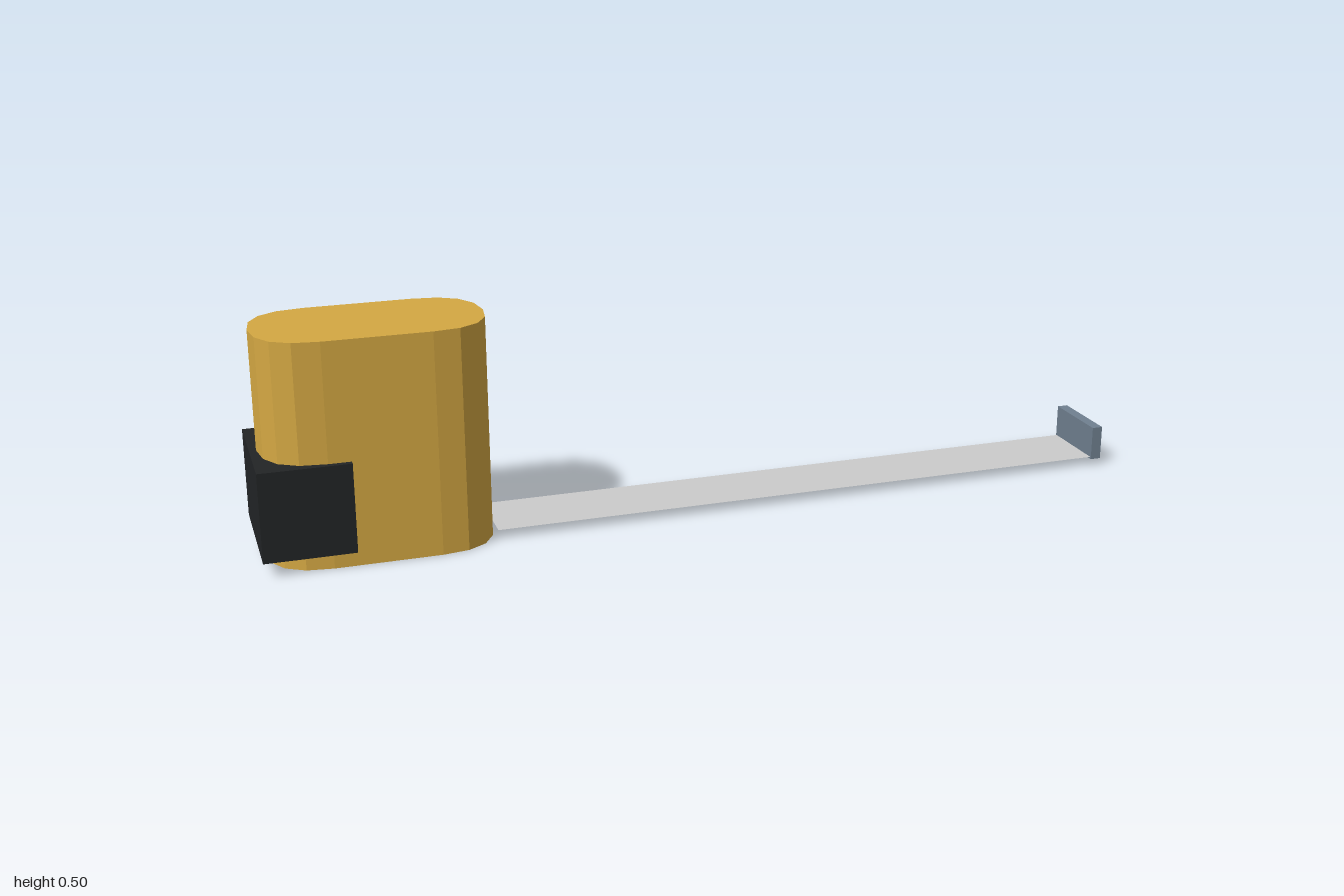
import * as THREE from 'three';

const MID_Z = 0.01;

function material(color) {
  return new THREE.MeshStandardMaterial({ color, flatShading: true });
}

function add(group, name, geometry, mat, x, y, z) {
  const mesh = new THREE.Mesh(geometry, mat);
  mesh.name = name;
  mesh.position.set(x, y, z);
  group.add(mesh);
  return mesh;
}

// Rounded outline: straight long sides, each corner one quadratic curve
function caseOutline(halfLength, r) {
  const s = new THREE.Shape();
  const a = halfLength, b = halfLength - r;
  s.moveTo(-b, -r);
  s.lineTo(b, -r);
  s.quadraticCurveTo(a, -r, a, 0);
  s.quadraticCurveTo(a, r, b, r);
  s.lineTo(-b, r);
  s.quadraticCurveTo(-a, r, -a, 0);
  s.quadraticCurveTo(-a, -r, -b, -r);
  return s;
}

export function createModel() {
  const model = new THREE.Group();
  model.name = 'tapeMeasure';
  const yellow = material(0xd4a843);
  const black = material(0x222426);
  const steel = material(0x708090);
  const blade = material(0xcccccc);
  blade.side = THREE.DoubleSide;

  // Case, extruded upward
  const body = new THREE.ExtrudeGeometry(caseOutline(0.249, 0.133), {
    depth: 0.5, bevelEnabled: false, curveSegments: 4,
  });
  body.rotateX(-Math.PI / 2);
  add(model, 'case', body, yellow, -0.736, 0, MID_Z);

  // Rubber grip wrapped around the lower rear corner
  add(model, 'grip', new THREE.BoxGeometry(0.197, 0.2, 0.292), black, -0.9015, 0.135, MID_Z);

  // Belt clip, standing just off the back face
  add(model, 'beltClip', new THREE.BoxGeometry(0.08, 0.333, 0.027), yellow, -0.737, 0.267, -0.1425);

  // Flat tape blade and its end hook
  const tape = new THREE.PlaneGeometry(1.463, 0.166);
  tape.rotateX(-Math.PI / 2);
  add(model, 'tapeBlade', tape, blade, 0.2435, 0.02, MID_Z);
  add(model, 'endHook', new THREE.BoxGeometry(0.025, 0.08, 0.172), steel, 0.9875, 0.055, MID_Z);

  return model;
}
